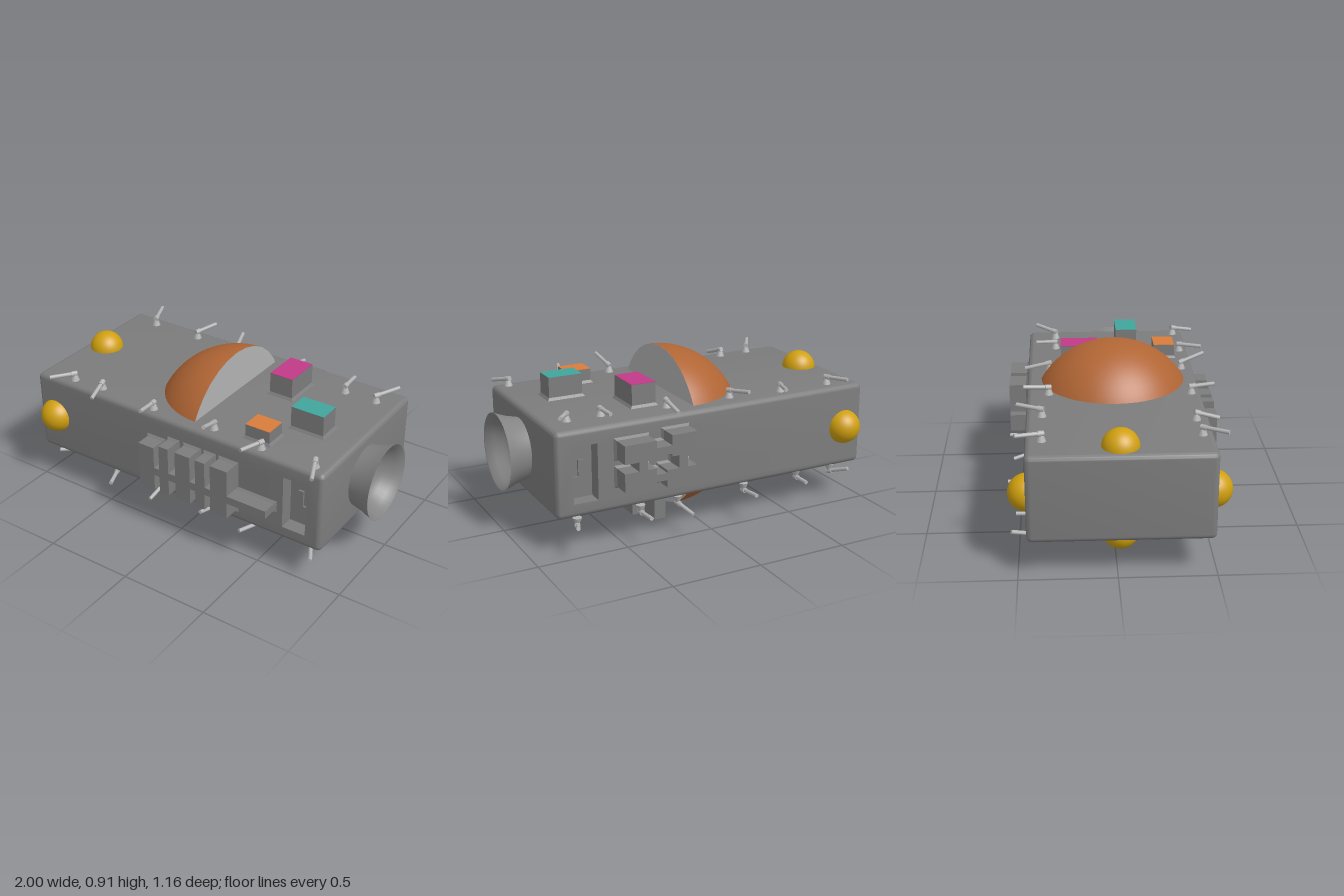
import * as THREE from 'three';
import { toCreasedNormals } from 'three/addons/utils/BufferGeometryUtils.js';

const paint = (color) => new THREE.MeshStandardMaterial({ color });
const hullGrey = paint(0x7c7c7c);
const lightGrey = paint(0xb2b2b2);
const bellGrey = new THREE.MeshStandardMaterial({ color: 0x848484, side: THREE.DoubleSide });
const V = (x, y, z) => new THREE.Vector3(x, y, z);

// Hull limits
const X0 = -1, X1 = 0.868, Y0 = 0.202, Y1 = 0.67, Z0 = -0.453, Z1 = 0.49;

function add(parent, name, geometry, material, x = 0, y = 0, z = 0) {
  const mesh = new THREE.Mesh(geometry, material);
  mesh.name = name;
  mesh.position.set(x, y, z);
  parent.add(mesh);
  return mesh;
}

function rect(x0, x1, y0, y1, Type = THREE.Shape) {
  return new Type([[x0, y0], [x1, y0], [x1, y1], [x0, y1]].map((p) => new THREE.Vector2(...p)));
}

// Outline of vertical bars [x0, x1, bottom, top] crossing a horizontal spine
function comb(bars, s0, s1, spineEnd) {
  const pts = [];
  for (const [a, b, , top] of bars) pts.push([a, s1], [a, top], [b, top], [b, s1]);
  if (spineEnd) pts.push([spineEnd, s1], [spineEnd, s0]);
  for (const [a, b, low] of [...bars].reverse()) pts.push([b, s0], [b, low], [a, low], [a, s0]);
  const clean = pts.filter((p, i) => {
    const q = pts[(i + 1) % pts.length];
    return p[0] !== q[0] || p[1] !== q[1];
  });
  // drop the spine corners that lie on the straight outer edges
  const first = bars[0][0], last = bars[bars.length - 1][1];
  const kept = clean.filter(([x, y]) => !((y === s0 || y === s1) && (x === first || (!spineEnd && x === last))));
  return new THREE.Shape(kept.map((p) => new THREE.Vector2(...p)));
}

// Raised block along local +z with a chamfered skirt at its foot
function relief(parent, name, shape, height) {
  const group = new THREE.Group();
  group.name = name;
  add(group, name + 'Block', new THREE.ExtrudeGeometry(shape, { depth: height + 0.01, bevelEnabled: false }), hullGrey, 0, 0, -0.01);
  const skirt = new THREE.ExtrudeGeometry(shape, {
    depth: 0.005, bevelThickness: 0.014, bevelSize: 0.011, bevelSegments: 1,
  });
  add(group, name + 'Skirt', skirt, hullGrey, 0, 0, -0.005);
  parent.add(group);
  return group;
}

// Rounded hull with a pocket on the front and back
function buildHull(g) {
  const b = 0.028;
  const s = new THREE.Shape();
  s.moveTo(X0 + b, Y0).lineTo(X1 - b, Y0);
  s.absarc(X1 - b, Y0 + b, b, -Math.PI / 2, 0);
  s.absarc(X1 - b, Y1 - b, b, 0, Math.PI / 2);
  s.absarc(X0 + b, Y1 - b, b, Math.PI / 2, Math.PI);
  s.absarc(X0 + b, Y0 + b, b, Math.PI, Math.PI * 1.5);
  const px = 0.708, py = 0.43, pw = 0.068, ph = 0.154;
  s.holes.push(rect(px - pw, px + pw, py - ph, py + ph, THREE.Path));
  const geo = new THREE.ExtrudeGeometry(s, {
    depth: Z1 - Z0 - 2 * b, bevelThickness: b, bevelSize: b - 0.002, bevelOffset: -b + 0.002, bevelSegments: 4, curveSegments: 5,
  });
  // keep the pocket walls straight
  const p = geo.attributes.position;
  for (let i = 0; i < p.count; i++) {
    const dx = p.getX(i) - px, dy = p.getY(i) - py;
    if (Math.abs(dx) < 0.11 && Math.abs(dy) < 0.19) {
      p.setXY(i, px + Math.sign(dx) * pw, py + Math.sign(dy) * ph);
    }
  }
  add(g, 'hull', toCreasedNormals(geo, 0.6), hullGrey, 0, 0, Z0 + b);
  add(g, 'pocketFloor', new THREE.BoxGeometry(pw * 2 + 0.01, ph * 2 + 0.01, Z1 - Z0 - 0.16), hullGrey, px, py, (Z0 + Z1) / 2);
  // low fittings on the pocket floors: x, y, width, height
  for (const z of [Z1 - 0.08, Z0 + 0.08]) {
    for (const [x, y, w, h] of [[0.73, 0.37, 0.08, 0.05], [0.705, 0.44, 0.03, 0.09], [0.76, 0.45, 0.025, 0.05], [0.763, 0.53, 0.015, 0.07]]) {
      add(g, 'pocketFitting', new THREE.BoxGeometry(w, h, 0.024), hullGrey, x, y, z);
    }
  }
}

// Swivelling rod on a small cone; up is +1 on the roof and -1 below
function antenna(g, up, x, z, tx, tz, rise) {
  const y = up > 0 ? Y1 : Y0;
  const group = new THREE.Group();
  group.name = 'antenna';
  const cone = add(group, 'antennaFoot', new THREE.CylinderGeometry(0.012, 0.025, 0.036, 12), lightGrey, x, y + up * 0.017, z);
  if (up < 0) cone.rotation.x = Math.PI;
  const from = V(x, y + up * 0.04, z), to = V(tx, y + up * 0.04 + rise, tz);
  const dir = to.clone().sub(from).normalize();
  from.addScaledVector(dir, -0.012);
  const place = (name, a, c, r) => {
    const m = add(group, name, new THREE.CylinderGeometry(r, r, a.distanceTo(c), 10), lightGrey);
    m.position.copy(a).add(c).multiplyScalar(0.5);
    m.quaternion.setFromUnitVectors(V(0, 1, 0), dir);
  };
  place('antennaRod', from, to, 0.011);
  place('antennaCollar', from, from.clone().addScaledVector(dir, 0.032), 0.015);
  g.add(group);
}

export function createModel() {
  const g = new THREE.Group();
  g.name = 'spacecraft';
  buildHull(g);

  // Half-sphere through the hull, with a flat aft face
  const R = 0.453;
  add(g, 'dome', new THREE.SphereGeometry(R, 32, 32, -Math.PI / 2, Math.PI), paint(0xb06534), 0.047, R, 0.022);
  add(g, 'domeFace', new THREE.CircleGeometry(R, 32), lightGrey, 0.047, R, 0.022).rotation.y = Math.PI / 2;

  // Four globes round the nose
  const gold = paint(0xd0a010);
  for (const [y, z] of [[0.665, 0.016], [0.21, 0.016], [0.43, 0.477], [0.43, -0.447]]) {
    add(g, 'globe', new THREE.SphereGeometry(0.096, 32, 20), gold, -0.883, y, z);
  }

  // Flared engine bell with a bowl inside
  const bell = [[0.165, 0.85], [0.172, 0.88], [0.184, 0.93], [0.2, 0.972], [0.212, 1],
    [0.206, 0.998], [0.18, 0.955], [0.15, 0.912], [0.122, 0.88], [0.08, 0.874], [0.04, 0.871], [0, 0.87]];
  const bellGeo = new THREE.LatheGeometry(bell.map((p) => new THREE.Vector2(...p)), 40);
  add(g, 'engineBell', toCreasedNormals(bellGeo, 0.8), bellGrey, 0, 0.437, 0.045).rotation.z = -Math.PI / 2;

  // Roof boxes with coloured lids: x0, x1, z0, z1, top, colour
  for (const [a, b, c, d, top, color] of [
    [0.215, 0.355, -0.265, -0.053, 0.798, 0xc03a88],
    [0.495, 0.688, 0.063, 0.186, 0.797, 0x42a59c],
    [0.35, 0.497, 0.278, 0.398, 0.75, 0xd87c3c],
  ]) {
    const box = relief(g, 'roofBox', rect(a, b, -d, -c), top - Y1 - 0.001);
    box.position.y = Y1;
    box.rotation.x = -Math.PI / 2;
    add(g, 'roofBoxLid', new THREE.BoxGeometry(b - a, 0.002, d - c), paint(color), (a + b) / 2, top, (c + d) / 2);
  }

  // Stepped blocks under the hull
  const tee = comb([[0.215, 0.28, -0.375, 0.15], [0.28, 0.355, -0.26, -0.02]], -0.2, -0.1);
  const step = comb([[0.64, 0.685, 0.07, 0.22], [0.685, 0.73, 0.13, 0.28]], 0.15, 0.2);
  for (const [shape, height] of [[tee, 0.14], [step, 0.078]]) {
    const block = relief(g, 'bellyBlock', shape, height);
    block.position.y = Y0;
    block.rotation.x = Math.PI / 2;
  }

  // Comb-shaped relief on the front
  const front = comb([[-0.21, -0.11, 0.27, 0.535], [-0.075, -0.015, 0.27, 0.56], [0.03, 0.125, 0.27, 0.56],
    [0.16, 0.22, 0.27, 0.56], [0.255, 0.36, 0.27, 0.56]], 0.365, 0.41, 0.595);
  relief(g, 'frontRelief', front, 0.094).position.z = Z1;

  // Blocks joined by bridges on the back: x0, x1, y0, y1
  for (const [a, b, c, d] of [
    [0.125, 0.27, 0.485, 0.6], [0.36, 0.54, 0.485, 0.585], [0.125, 0.3, 0.32, 0.415], [0.36, 0.54, 0.335, 0.435],
    [0.27, 0.36, 0.5, 0.545], [0.3, 0.36, 0.36, 0.4], [0.41, 0.46, 0.435, 0.485], [0.18, 0.23, 0.415, 0.485],
  ]) {
    const block = relief(g, 'backRelief', rect(-b, -a, c, d), 0.108);
    block.position.z = Z0;
    block.rotation.y = Math.PI;
  }

  // Antennas: foot x, z, tip x, z, rise
  for (const a of [
    [-0.81, -0.37, -0.86, -0.5, 0.01], [-0.5, -0.37, -0.455, -0.5, 0.01], [-0.195, -0.335, -0.24, -0.47, 0.02],
    [0.185, -0.33, 0.185, -0.47, -0.03], [0.55, -0.295, 0.545, -0.41, 0], [0.74, -0.295, 0.82, -0.41, 0.02],
    [-0.77, 0.43, -0.85, 0.55, 0.005], [-0.58, 0.42, -0.56, 0.54, -0.04], [-0.215, 0.435, -0.205, 0.56, 0.01],
    [0.17, 0.42, 0.195, 0.55, 0.045], [0.475, 0.44, 0.43, 0.565, 0], [0.785, 0.43, 0.835, 0.55, -0.03],
  ]) antenna(g, 1, ...a);
  for (const a of [
    [-0.82, 0.37, -0.9, 0.47, 0.015], [-0.5, 0.43, -0.45, 0.555, 0], [-0.2, 0.38, -0.2, 0.52, -0.03],
    [0.17, 0.38, 0.15, 0.53, 0.03], [0.45, 0.38, 0.4, 0.53, 0.01], [0.75, 0.37, 0.82, 0.5, -0.02],
    [-0.82, -0.42, -0.87, -0.53, 0.04], [-0.6, -0.41, -0.6, -0.515, 0], [-0.235, -0.44, -0.24, -0.57, 0.01],
    [0.17, -0.43, 0.14, -0.55, -0.03], [0.4, -0.45, 0.4, -0.58, 0.01], [0.76, -0.45, 0.805, -0.57, 0.035],
  ]) antenna(g, -1, ...a);

  return g;
}
